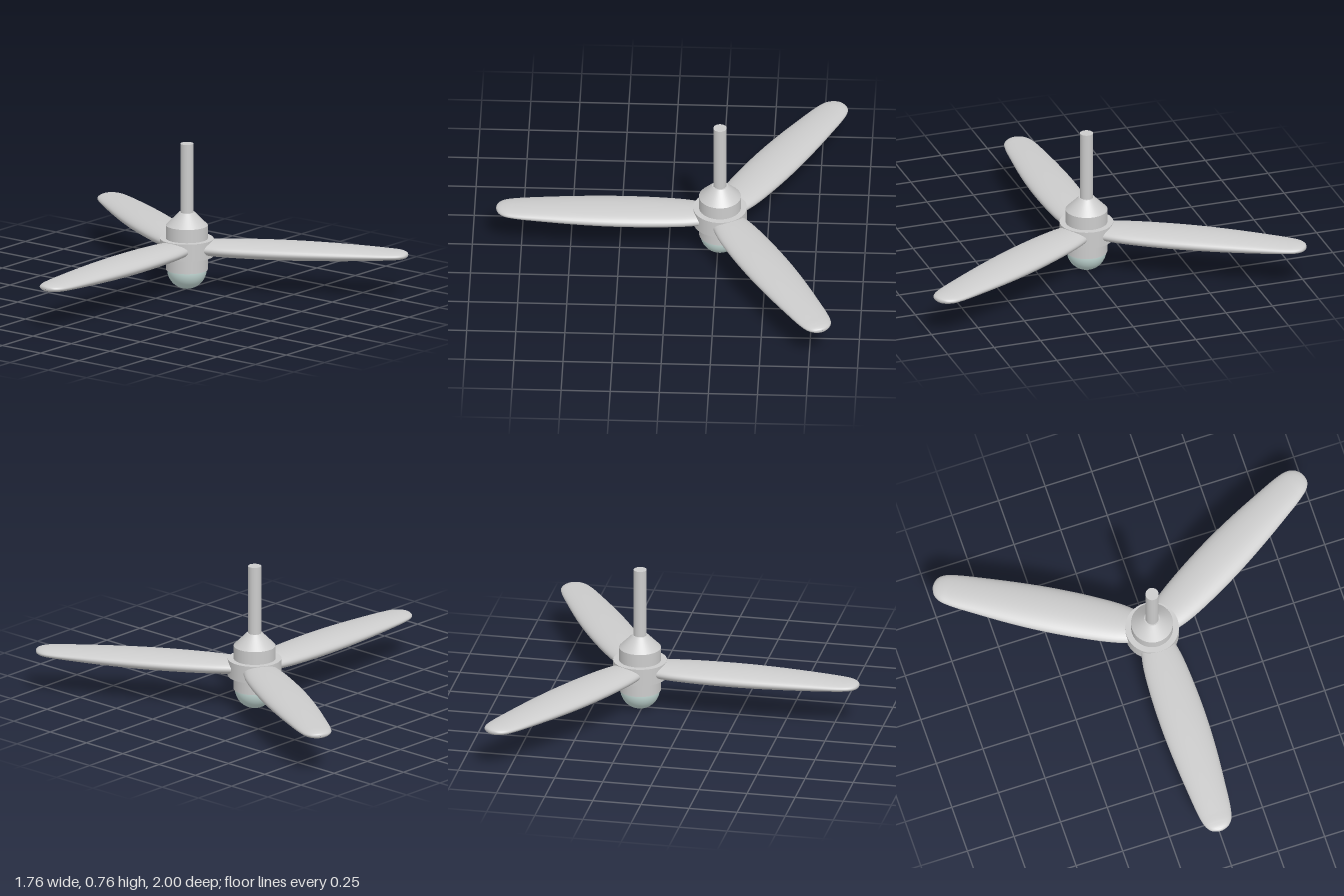
import * as THREE from 'three';
import { ParametricGeometry } from 'three/addons/geometries/ParametricGeometry.js';

const grey = new THREE.MeshStandardMaterial({ color: 0xcccccc });
const glass = new THREE.MeshStandardMaterial({ color: 0xc4dad6 });

function add(group, name, geometry, material = grey) {
  const mesh = new THREE.Mesh(geometry, material);
  mesh.name = name;
  group.add(mesh);
  return mesh;
}

// Upright round part between two heights
function drum(group, name, y0, y1, rBottom, rTop, sides = 48) {
  const mesh = add(group, name, new THREE.CylinderGeometry(rTop, rBottom, y1 - y0, sides));
  mesh.position.y = (y0 + y1) / 2;
}

// Blade stations: distance from axis, leading width, trailing width, half thickness
const stations = [
  [0.07, 0.085, 0.085, 0.038],
  [0.18, 0.107, 0.103, 0.042],
  [0.35, 0.12, 0.114, 0.045],
  [0.54, 0.123, 0.116, 0.045],
  [0.72, 0.117, 0.108, 0.041],
  [0.9, 0.105, 0.092, 0.034],
  [1.04, 0.092, 0.076, 0.026],
  [1.095, 0.079, 0.061, 0.022],
  [1.125, 0.058, 0.037, 0.016],
  [1.138, 0.03, 0.008, 0.009],
  [1.141, 0.011, -0.009, 0.001],
];
const outline = new THREE.CatmullRomCurve3(stations.map(([s, a, b]) => new THREE.Vector3(s, a, b)));
const thickness = new THREE.CatmullRomCurve3(stations.map(([s, , , h]) => new THREE.Vector3(s, h, 0)));

// Elliptical sections swept along -x
function bladeGeometry() {
  const o = new THREE.Vector3();
  const t = new THREE.Vector3();
  return new ParametricGeometry((u, v, target) => {
    outline.getPoint(u, o);
    thickness.getPoint(u, t);
    const angle = v * Math.PI * 2;
    const middle = (o.z - o.y) / 2;
    const half = (o.y + o.z) / 2;
    target.set(-o.x, t.y * Math.cos(angle), middle + half * Math.sin(angle));
  }, 60, 40);
}

export function createModel() {
  const fan = new THREE.Group();
  fan.name = 'ceilingFan';
  fan.position.set(0.261, 0, -0.006);

  // Down rod and motor housing
  drum(fan, 'downRod', 0.38, 0.76, 0.034, 0.034, 16);
  drum(fan, 'canopyCone', 0.332, 0.4, 0.107, 0.04);
  drum(fan, 'motorHousing', 0.1, 0.332, 0.107, 0.107);
  drum(fan, 'bladeRing', 0.173, 0.263, 0.137, 0.137);

  // Glass light dome
  const dome = new THREE.SphereGeometry(0.101, 40, 16, 0, Math.PI * 2, Math.PI / 2, Math.PI / 2);
  add(fan, 'lightDome', dome, glass).position.y = 0.101;

  // Three blades
  const blade = bladeGeometry();
  for (let i = 0; i < 3; i++) {
    const mesh = add(fan, `blade${i + 1}`, blade);
    mesh.position.y = 0.22;
    mesh.rotation.y = (i * Math.PI * 2) / 3;
  }

  const model = new THREE.Group();
  model.name = 'model';
  model.add(fan);
  return model;
}
